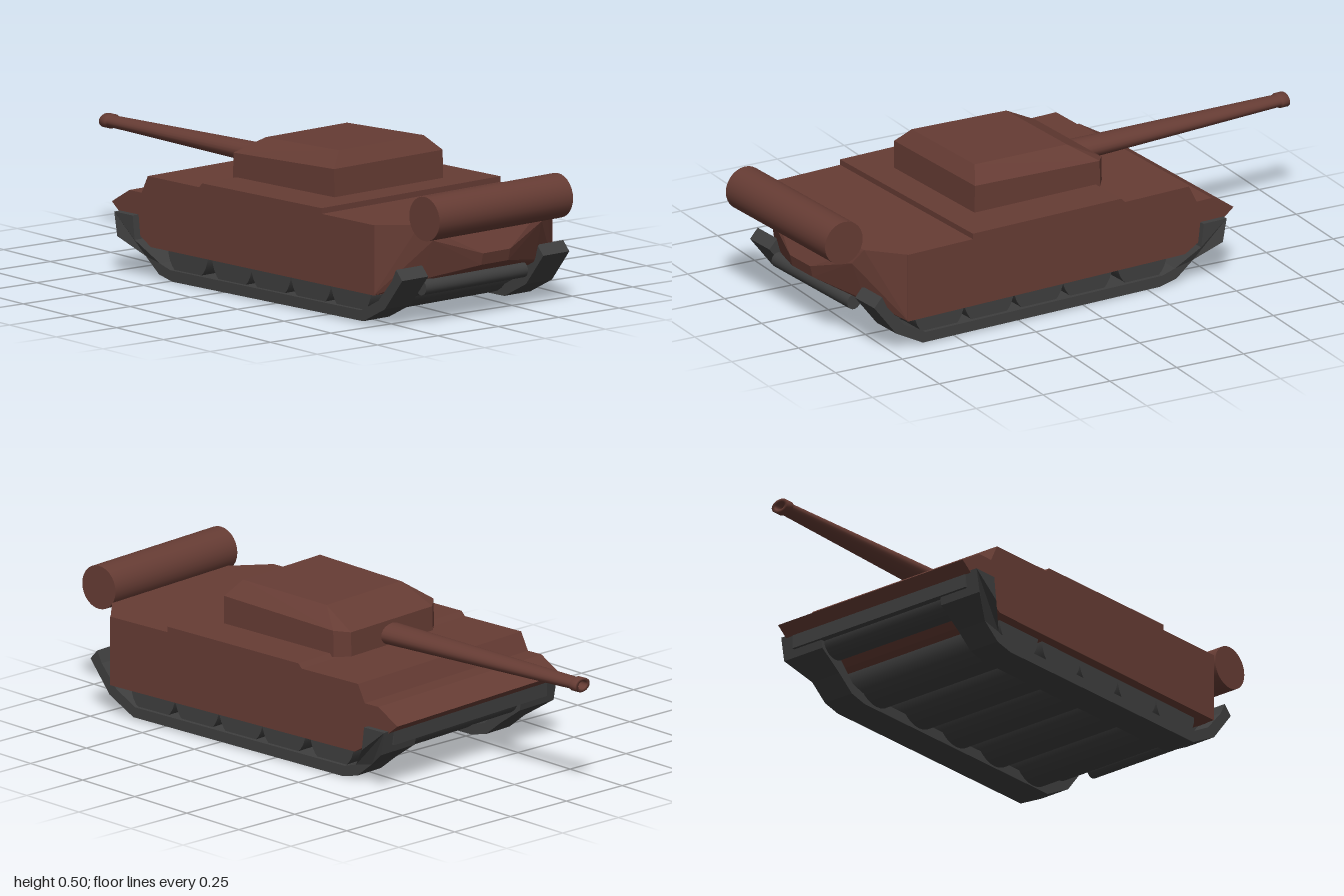
import * as THREE from 'three';
import { ConvexGeometry } from 'three/addons/geometries/ConvexGeometry.js';

export function createModel() {
  const armour = new THREE.MeshStandardMaterial({ color: 0x663c34 });
  armour.name = 'rust brown armour';
  const rubber = new THREE.MeshStandardMaterial({ color: 0x3e3e3e });
  rubber.name = 'dark grey running gear';

  const model = new THREE.Group();
  model.name = 'tank';

  function add(name, geometry, material, x = 0, y = 0, z = 0) {
    const mesh = new THREE.Mesh(geometry, material);
    mesh.name = name;
    mesh.position.set(x, y, z);
    model.add(mesh);
    return mesh;
  }

  // Side profile of [z, y] points extruded across x, centred on x = 0
  function sideExtrude(points, width) {
    const shape = new THREE.Shape(points.map(([z, y]) => new THREE.Vector2(z, y)));
    const g = new THREE.ExtrudeGeometry(shape, { depth: width, bevelEnabled: false });
    return g.translate(0, 0, -width / 2).rotateY(-Math.PI / 2);
  }

  // Convex solid from [x, y, z] points mirrored in x
  function mirroredHull(points) {
    return new ConvexGeometry(points.flatMap(([x, y, z]) =>
      [new THREE.Vector3(x, y, z), new THREE.Vector3(-x, y, z)]));
  }

  // Cylinder lying along x
  const roller = (r, length) => new THREE.CylinderGeometry(r, r, length, 28).rotateZ(Math.PI / 2);

  // Hull with stepped glacis at the gun end
  add('hull', sideExtrude([
    [0.737, 0.345], [-0.365, 0.345], [-0.395, 0.285], [-0.455, 0.285],
    [-0.54, 0.235], [-0.47, 0.18], [-0.35, 0.11], [0.737, 0.11],
  ], 0.79), armour, 0.003);

  // Chamfered engine end
  add('engineEnd', mirroredHull([
    [0.395, 0.345, 0.735], [0.395, 0.11, 0.735],
    [0.28, 0.345, 0.833], [0.24, 0.29, 0.855],
    [0.06, 0.23, 0.9], [0.06, 0.19, 0.89], [0.25, 0.155, 0.81],
  ]), armour, 0.003);

  // Raised deck plate
  add('deckPlate', sideExtrude([
    [0.482, 0.34], [0.482, 0.364], [-0.1, 0.36], [-0.12, 0.34],
  ], 0.79), armour, 0.003);

  // Turret: upright walls, sloped shoulders and a flat roof
  add('turret', mirroredHull([
    [0.24, 0.35, 0.374], [0.243, 0.35, -0.117], [0.197, 0.35, -0.154],
    [0.24, 0.457, 0.372], [0.243, 0.44, -0.115], [0.197, 0.432, -0.152],
    [0.187, 0.508, 0.338], [0.18, 0.496, -0.028],
  ]), armour, 0.003);

  // Flattened tapering gun with a hollow muzzle collar
  const barrel = new THREE.LatheGeometry([
    [0.001, 0.1], [0.053, 0.1], [0.053, 0.14], [0.029, 0.968], [0.035, 0.972],
    [0.035, 1.0], [0.021, 1.0], [0.021, 0.95], [0.001, 0.95],
  ].map(([r, h]) => new THREE.Vector2(r, h)), 20).toNonIndexed();
  barrel.rotateX(-Math.PI / 2).scale(1, 0.68, 1);
  add('gunBarrel', barrel, armour, 0.003, 0.384, 0);

  // Fuel drum across the engine end
  add('fuelDrum', roller(0.074, 0.59), armour, -0.025, 0.381, 0.904);

  // Road wheels spanning the hull
  for (const z of [0.585, 0.39, 0.195, 0.005, -0.21]) {
    add('roadWheel', roller(0.097, 0.71), rubber, 0, 0.111, z);
  }
  add('rearIdler', roller(0.06, 0.6), rubber, 0, 0.14, 0.715);
  add('frontSprocket', roller(0.058, 0.74), rubber, 0, 0.168, -0.42);
  add('towRoller', roller(0.026, 0.45), rubber, -0.03, 0.13, 0.815);
  add('frontGuardPlate', new THREE.BoxGeometry(0.74, 0.05, 0.03), rubber, 0, 0.182, -0.485);

  // Open track belts, flared outwards at the gun end
  for (const side of [-1, 1]) {
    const belt = sideExtrude([
      [0.82, 0.205], [0.85, 0.172], [0.765, 0.065], [0.66, 0.01],
      [-0.27, 0.003], [-0.335, 0.018], [-0.4, 0.07], [-0.485, 0.13], [-0.5, 0.21],
      [-0.41, 0.21], [-0.4, 0.13], [-0.33, 0.055], [-0.28, 0.04],
      [0.65, 0.045], [0.735, 0.09], [0.8, 0.165],
    ], 0.115);
    belt.translate(side * 0.312, 0, 0);
    const p = belt.attributes.position;
    for (let i = 0; i < p.count; i++) {
      if (p.getZ(i) < -0.38 && p.getY(i) > 0.1 && Math.abs(p.getX(i)) > 0.3) p.setX(i, side * 0.418);
    }
    belt.computeVertexNormals();
    add(side > 0 ? 'leftTrack' : 'rightTrack', belt, rubber);
  }

  // The whole vehicle stands slightly turned
  model.rotation.y = 0.078;
  const root = new THREE.Group();
  root.name = 'model';
  root.add(model);
  return root;
}
